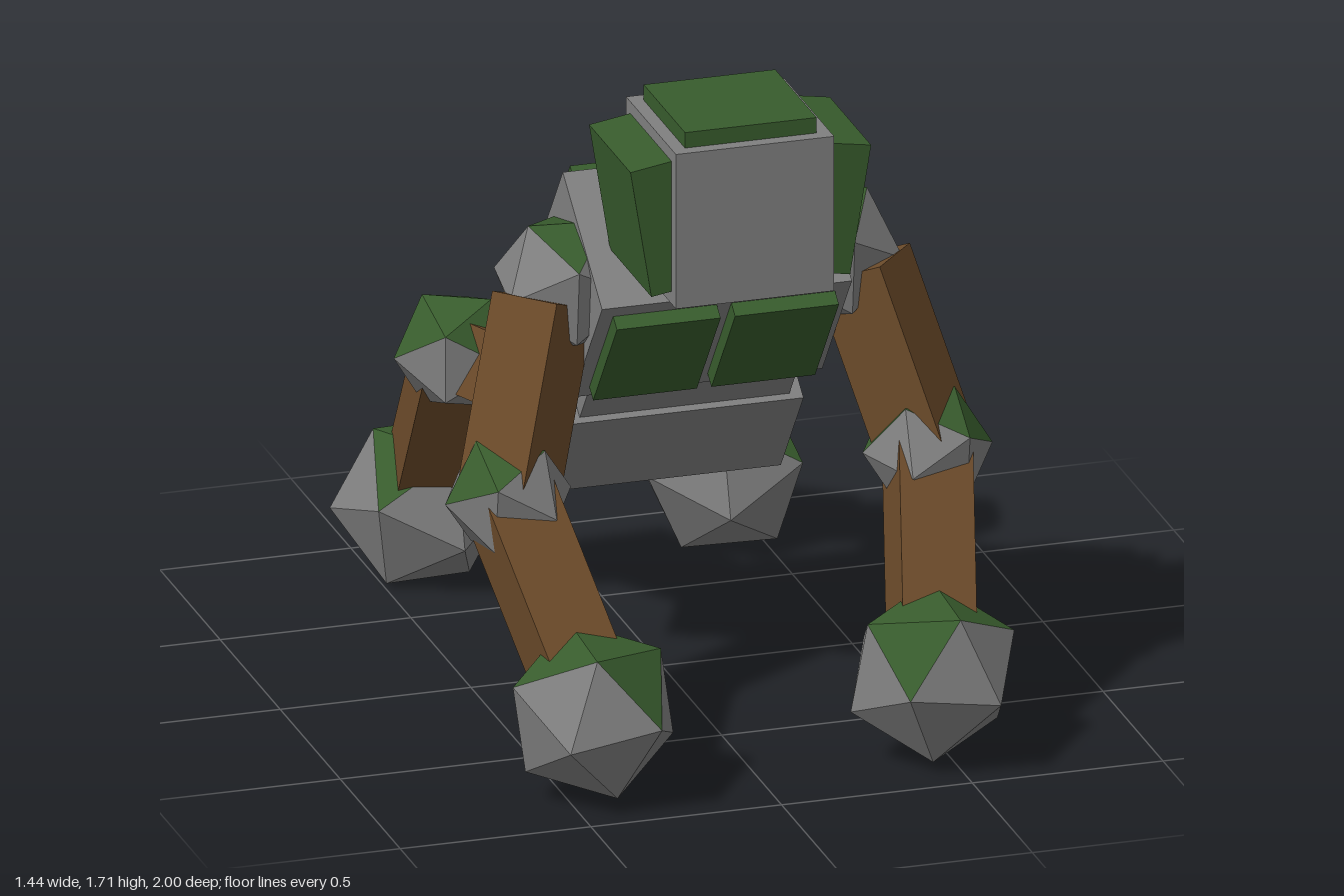
import * as THREE from 'three';

const material = (color) => new THREE.MeshStandardMaterial({ color, flatShading: true });
const stone = material(0x808080);
const moss = material(0x385c2d);
const wood = material(0x6c4b2a);

function box(parent, name, mat, size, pos) {
  const mesh = new THREE.Mesh(new THREE.BoxGeometry(...size), mat);
  mesh.name = name;
  mesh.position.set(...pos);
  parent.add(mesh);
  return mesh;
}

// Square beam between two points, rolled about its own length
function beam(parent, name, from, to, width, roll) {
  const a = new THREE.Vector3(...from), b = new THREE.Vector3(...to);
  const mesh = new THREE.Mesh(new THREE.BoxGeometry(width, width, a.distanceTo(b)), wood);
  mesh.name = name;
  mesh.position.copy(a).lerp(b, 0.5);
  mesh.lookAt(b);
  mesh.rotateZ(roll);
  parent.add(mesh);
}

// Twenty-sided boulder whose upward faces are covered in moss
function boulder(parent, name, pos, radius, turn) {
  const ico = new THREE.IcosahedronGeometry(radius, 0);
  ico.applyMatrix4(new THREE.Matrix4().makeRotationFromEuler(new THREE.Euler(...turn)));
  const p = ico.attributes.position;
  const faces = { Stone: [], Moss: [] };
  for (let i = 0; i < p.count; i += 3) {
    const corners = [0, 1, 2].map((k) => new THREE.Vector3().fromBufferAttribute(p, i + k));
    const height = (corners[0].y + corners[1].y + corners[2].y) / (3 * radius);
    faces[height > 0.42 ? 'Moss' : 'Stone'].push(...corners);
  }
  const group = new THREE.Group();
  group.name = name;
  group.position.set(...pos);
  for (const [kind, points] of Object.entries(faces)) {
    const geo = new THREE.BufferGeometry().setFromPoints(points);
    geo.computeVertexNormals();
    const mesh = new THREE.Mesh(geo, kind === 'Moss' ? moss : stone);
    mesh.name = name + kind;
    group.add(mesh);
  }
  parent.add(group);
}

export function createModel() {
  const model = new THREE.Group();
  model.name = 'stoneGolem';
  const body = new THREE.Group();
  body.name = 'body';
  body.position.x = 0.012;
  model.add(body);

  // Head with moss slabs on top and sides
  const head = new THREE.Group();
  head.name = 'head';
  head.position.set(0, 1.47, 0.533);
  body.add(head);
  box(head, 'skull', stone, [0.415, 0.415, 0.415], [0, 0, 0]);
  box(head, 'crownMoss', moss, [0.345, 0.1, 0.345], [0, 0.199, 0]);

  // Torso leaning forward: chest, waist and pelvis
  const torso = new THREE.Group();
  torso.name = 'torso';
  torso.position.set(0, 1.147, 0.22);
  torso.rotation.x = 0.645;
  body.add(torso);
  box(torso, 'chest', stone, [0.655, 0.41, 0.41], [0, 0, 0]);
  box(torso, 'waist', stone, [0.55, 0.2, 0.36], [0, -0.26, 0]);
  box(torso, 'pelvis', stone, [0.615, 0.315, 0.405], [0, -0.507, -0.005]);

  for (const s of [1, -1]) {
    const side = s > 0 ? 'left' : 'right';
    const slab = box(head, side + 'HeadMoss', moss, [0.15, 0.345, 0.345], [s * 0.214, 0, 0]);
    slab.rotation.z = -s * 0.16;
    for (const [name, f] of [['ChestMoss', 1], ['BackMoss', -1]]) {
      box(torso, side + name, moss, [0.272, 0.33, 0.08], [s * 0.155, 0, f * 0.205]);
    }

    // Arm
    const arm = new THREE.Group();
    arm.name = side + 'Arm';
    body.add(arm);
    const elbow = [s * 0.55, 0.685, 0.43], hand = [s * 0.445, 0.237, 0.805];
    boulder(arm, side + 'Shoulder', [s * 0.345, 1.172, 0.255], 0.19, [0.1, s * 0.1, 0]);
    beam(arm, side + 'UpperArm', [s * 0.418, 1.15, 0.305], elbow, 0.19, -s * 0.05);
    boulder(arm, side + 'Elbow', elbow, 0.168, [0.15, s * 0.5, 0]);
    beam(arm, side + 'Forearm', elbow, hand, 0.19, -s * 0.2);
    boulder(arm, side + 'Fist', hand, 0.23, [1.65, -s * 0.16, 0]);

    // Leg
    const leg = new THREE.Group();
    leg.name = side + 'Leg';
    body.add(leg);
    const knee = [s * 0.4, 0.72, -0.475], foot = [s * 0.395, 0.2, -0.785];
    beam(leg, side + 'Thigh', [s * 0.13, 0.648, -0.15], knee, 0.18, -s * 0.35);
    boulder(leg, side + 'Knee', knee, 0.168, [0, s * 0.5, 0]);
    beam(leg, side + 'Shin', knee, foot, 0.18, -s * 0.15);
    boulder(leg, side + 'Foot', foot, 0.23, [-0.29, -s * 0.24, 0]);
  }
  return model;
}
